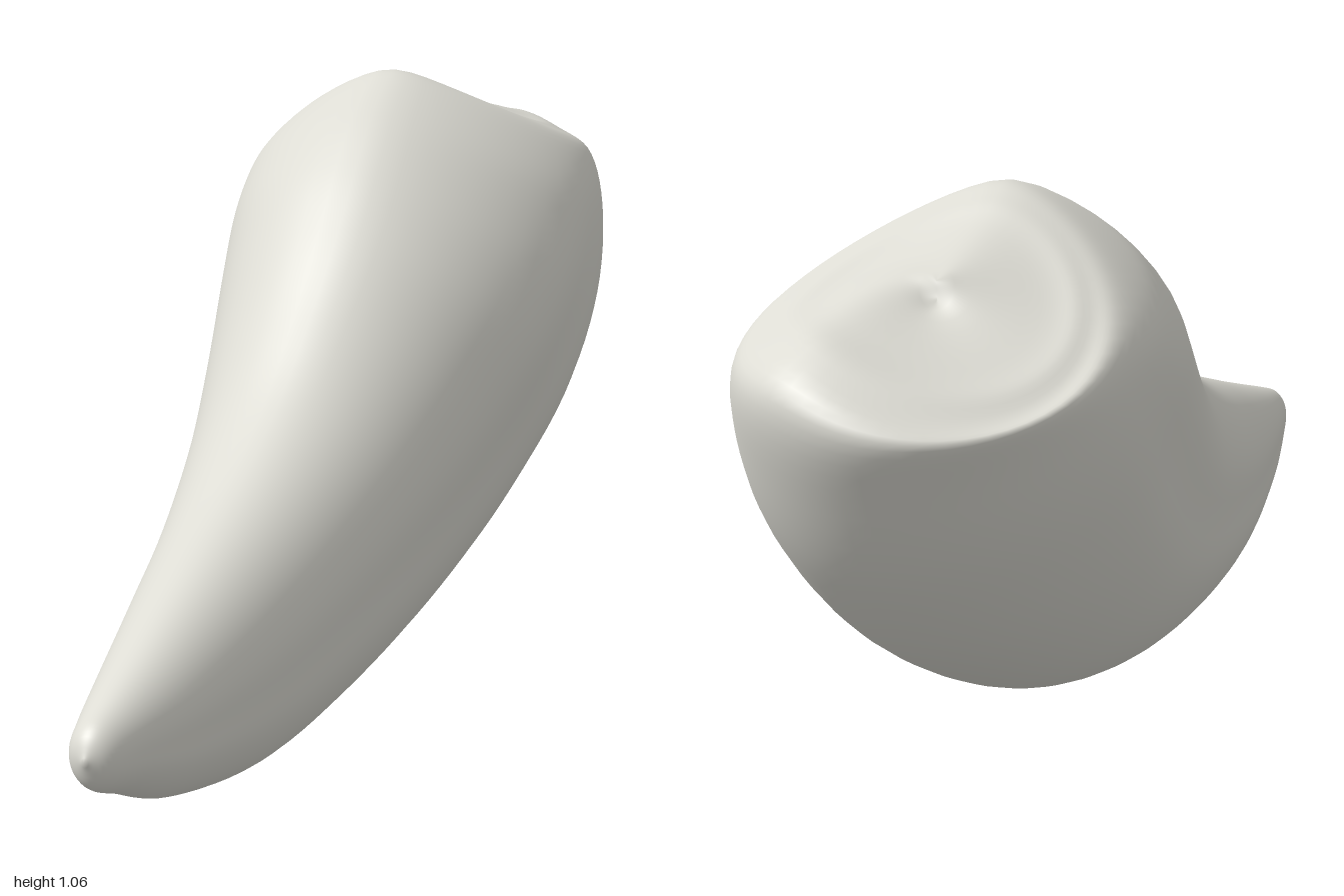
import * as THREE from 'three';
import { mergeVertices } from 'three/addons/utils/BufferGeometryUtils.js';

// Cross-sections from blunt base to tip, in the vertical plane of the curve:
// [upper s, upper y, lower s, lower y, half width, sideways centre]
const SECTIONS = [
  [-0.72, 0.945, -0.72, 0.945, 0, 0.03],
  [-0.56, 0.998, -0.88, 0.895, 0.17, 0.03],
  [-0.48, 1.04, -0.975, 0.865, 0.245, 0.035],
  [-0.4, 1.055, -1.05, 0.79, 0.305, 0.046],
  [-0.25, 1.01, -1.0, 0.64, 0.347, 0.062],
  [-0.12, 0.933, -0.88, 0.45, 0.358, 0.076],
  [0.0, 0.838, -0.67, 0.26, 0.337, 0.085],
  [0.148, 0.71, -0.38, 0.113, 0.29, 0.085],
  [0.3, 0.6, -0.05, 0.03, 0.24, 0.085],
  [0.5, 0.503, 0.3, 0, 0.19, 0.086],
  [0.72, 0.43, 0.6, 0.016, 0.147, 0.088],
  [0.92, 0.37, 0.88, 0.093, 0.1, 0.09],
  [1.05, 0.332, 1.035, 0.17, 0.062, 0.087],
  [1.11, 0.31, 1.107, 0.21, 0.038, 0.085],
  [1.137, 0.268, 1.137, 0.268, 0, 0.085],
];
const ALONG = new THREE.Vector3(0.41, 0, 0.91).normalize();
const SIDE = new THREE.Vector3(0.91, 0, -0.41).normalize();
const STEPS = 84;
const SIDES = 56;

// Smooth curves through columns of the section list
function columnCurve(a, b) {
  const points = SECTIONS.map((r) => new THREE.Vector3(r[a], r[b], 0));
  return new THREE.CatmullRomCurve3(points, false, 'catmullrom', 0.5);
}

function hornGeometry() {
  const upper = columnCurve(0, 1);
  const lower = columnCurve(2, 3);
  const width = columnCurve(4, 5);
  const { smoothstep, lerp } = THREE.MathUtils;
  const positions = [];
  const index = [];

  for (let i = 0; i <= STEPS; i++) {
    const u = i / STEPS;
    const top = upper.getPoint(u);
    const bottom = lower.getPoint(u);
    const { x: halfWidth, y: centre } = width.getPoint(u);
    const mid = top.clone().add(bottom).multiplyScalar(0.5);
    const half = top.clone().sub(bottom).multiplyScalar(0.5);
    // Shallow groove along both flanks, fading out at the ends
    const grooveFade = smoothstep(u, 0.2, 0.45) * (1 - smoothstep(u, 0.75, 0.95));
    // Shoulders slope away to both sides, further along on the left flank
    const rightSlope = 0.42 * (1 - smoothstep(u, 0.16, 0.42));
    const leftSlope = 0.36 * (1 - smoothstep(u, 0.3, 0.65));

    for (let j = 0; j < SIDES; j++) {
      const angle = (j / SIDES) * Math.PI * 2;
      const c = Math.cos(angle);
      const groove = 1 + grooveFade * (0.025 - 0.05 * Math.exp(-((c / 0.22) ** 2)));
      const across = halfWidth * Math.sin(angle) * groove;
      const q = across - 0.06 * (1 - c);
      const shoulder = lerp(1, (1 + c) / 2, smoothstep(u, 0.15, 0.3));
      const drop = shoulder * (q < 0 ? rightSlope : leftSlope) * (Math.hypot(q, 0.05) - 0.05);
      const p = ALONG.clone().multiplyScalar(mid.x + half.x * c).addScaledVector(SIDE, centre + across);
      positions.push(p.x, mid.y + half.y * c - drop, p.z);

      if (i < STEPS) {
        const next = (j + 1) % SIDES;
        const a = i * SIDES + j, b = a + SIDES;
        const d = i * SIDES + next, e = d + SIDES;
        index.push(a, b, d, b, e, d);
      }
    }
  }

  const geometry = new THREE.BufferGeometry();
  geometry.setAttribute('position', new THREE.Float32BufferAttribute(positions, 3));
  geometry.setIndex(index);
  const merged = mergeVertices(geometry, 1e-5);
  merged.computeVertexNormals();
  return merged;
}

export function createModel() {
  const model = new THREE.Group();
  model.name = 'curvedHorn';
  const horn = new THREE.Mesh(hornGeometry(), new THREE.MeshStandardMaterial({ color: 0xdddcd4 }));
  horn.name = 'horn';
  model.add(horn);
  return model;
}
